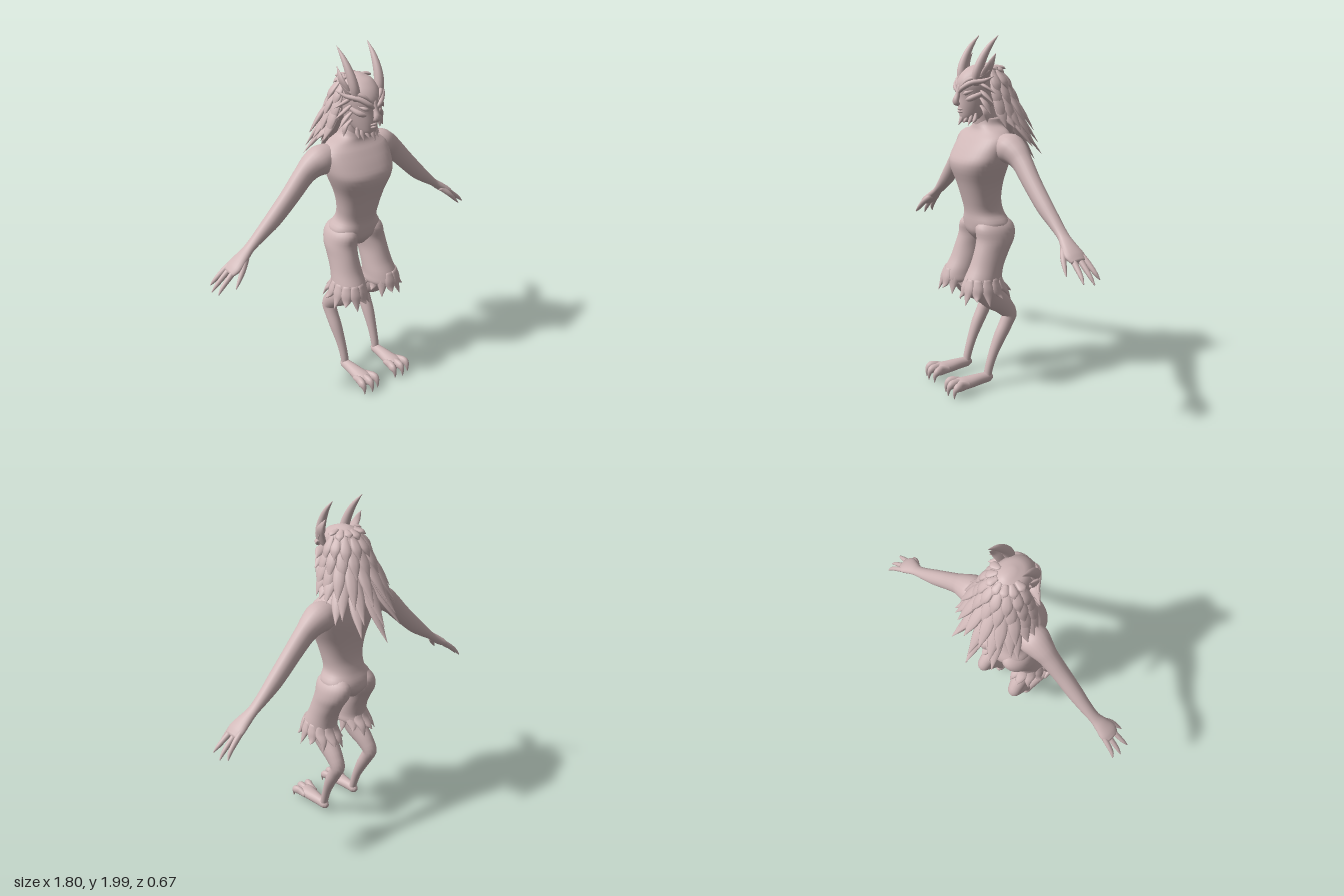
import * as THREE from 'three';

const skin = new THREE.MeshStandardMaterial({ color: 0xd0b8b8 });
skin.name = 'dusty pink';

// Smooth closed skin around a spine. Each point is [x, y, z, radius along side, other radius].
// With flat = true every ring stays horizontal; boxy < 1 squares the rings.
function loft(pts, { side = [1, 0, 0], flat = false, steps = 4, seg = 16, boxy = 1 } = {}) {
  const spine = new THREE.CatmullRomCurve3(pts.map(p => new THREE.Vector3(p[0], p[1], p[2])));
  const radii = new THREE.CatmullRomCurve3(pts.map(p => new THREE.Vector3(p[3], p[4] ?? p[3], 0)), false, 'catmullrom');
  const rows = (pts.length - 1) * steps, pos = [], idx = [];
  const bend = v => Math.sign(v) * Math.abs(v) ** boxy;
  for (let i = 0; i <= rows; i++) {
    const c = spine.getPoint(i / rows), r = radii.getPoint(i / rows);
    const t = flat ? new THREE.Vector3(0, Math.sign(pts.at(-1)[1] - pts[0][1]), 0) : spine.getTangent(i / rows);
    const u = new THREE.Vector3(...side);
    u.addScaledVector(t, -u.dot(t)).normalize();
    const v = new THREE.Vector3().crossVectors(t, u);
    for (let j = 0; j < seg; j++) {
      const a = j / seg * Math.PI * 2;
      const p = c.clone()
        .addScaledVector(u, Math.max(r.x, 0.0008) * bend(Math.cos(a)))
        .addScaledVector(v, Math.max(r.y, 0.0008) * bend(Math.sin(a)));
      pos.push(p.x, p.y, p.z);
    }
  }
  for (let i = 0; i < rows; i++) for (let j = 0; j < seg; j++) {
    const k = (j + 1) % seg, a = i * seg + j, b = i * seg + k;
    idx.push(a, b, a + seg, b, b + seg, a + seg);
  }
  // end caps
  const first = pos.length / 3, last = first + 1, top = rows * seg;
  pos.push(...pts[0].slice(0, 3), ...pts.at(-1).slice(0, 3));
  for (let j = 0; j < seg; j++) {
    const k = (j + 1) % seg;
    idx.push(first, k, j, last, top + j, top + k);
  }
  const g = new THREE.BufferGeometry();
  g.setAttribute('position', new THREE.Float32BufferAttribute(pos, 3));
  g.setIndex(idx);
  g.computeVertexNormals();
  return g;
}

export function createModel() {
  const model = new THREE.Group();
  model.name = 'hornedCreature';
  const add = (name, pts, opts) => {
    const m = new THREE.Mesh(loft(pts, opts), skin);
    m.name = name;
    model.add(m);
  };
  // the same part on both sides of the body
  const pair = (name, pts, opts = {}) => {
    add(name + 'Left', pts, opts);
    const s = opts.side ?? [1, 0, 0];
    add(name + 'Right', pts.map(p => [-p[0], ...p.slice(1)]), { ...opts, side: [-s[0], s[1], s[2]] });
  };
  // leaf shaped lock from root through mid to tip
  const lock = (root, mid, tip, w, th) =>
    [[...root, w * 0.5, th * 0.6], [...mid, w, th], [...tip, 0.001, 0.001]];

  // body
  add('torso', [
    [0, 0.87, 0, 0.05, 0.08], [0, 0.92, 0, 0.13, 0.115], [0, 0.97, 0.005, 0.155, 0.118],
    [0, 1.03, 0.02, 0.12, 0.105], [0, 1.1, 0.038, 0.122, 0.103], [0, 1.2, 0.05, 0.145, 0.12],
    [0, 1.31, 0.055, 0.19, 0.148], [0, 1.38, 0.035, 0.205, 0.135], [0, 1.45, 0.01, 0.2, 0.107],
    [0, 1.49, -0.005, 0.15, 0.088], [0, 1.52, -0.002, 0.09, 0.076], [0, 1.56, 0, 0.07, 0.068]],
  { flat: true, seg: 40, boxy: 0.88 });
  add('neck', [[0, 1.46, -0.01, 0.085, 0.075], [0, 1.54, 0.01, 0.07, 0.066], [0, 1.64, 0.03, 0.07, 0.066]], { seg: 24 });

  // arms
  pair('arm', [
    [0.12, 1.405, -0.015, 0.07, 0.065], [0.2, 1.405, -0.02, 0.085, 0.082], [0.255, 1.385, -0.025, 0.072, 0.072],
    [0.31, 1.345, -0.027, 0.055, 0.06], [0.4, 1.255, -0.026, 0.048, 0.053], [0.52, 1.14, -0.03, 0.043, 0.046],
    [0.6, 1.075, -0.034, 0.036, 0.034], [0.67, 1.022, -0.034, 0.033, 0.024], [0.72, 0.985, -0.03, 0.045, 0.026],
    [0.77, 0.95, -0.028, 0.058, 0.024], [0.805, 0.925, -0.03, 0.045, 0.015]], { side: [0, 0, 1], seg: 20 });
  const fingers = [[-0.065, 0.88, 0.845, -0.1], [-0.04, 0.9, 0.832, -0.052], [-0.008, 0.895, 0.845, 0.012]];
  fingers.forEach(([z, x, y, tipZ], i) => pair('finger' + (i + 1), [
    [0.76, 0.957, z, 0.016], [0.815, 0.915, (z * 2 + tipZ) / 3, 0.015],
    [(x + 0.84) / 2, (y + 0.9) / 2, (z + tipZ * 2) / 3, 0.011], [x, y, tipZ, 0.003]], { side: [0, 0, 1], seg: 10 }));
  pair('thumb', [[0.71, 0.985, -0.01, 0.02], [0.75, 0.945, 0.025, 0.016], [0.785, 0.905, 0.043, 0.011], [0.815, 0.87, 0.055, 0.003]],
    { side: [0, 0, 1], seg: 10 });

  // thighs and ragged hem
  pair('thigh', [
    [0.07, 1.02, 0, 0.03, 0.06], [0.087, 0.96, 0.002, 0.076, 0.117], [0.1, 0.89, 0.005, 0.086, 0.115],
    [0.109, 0.82, 0.035, 0.081, 0.105], [0.112, 0.74, 0.07, 0.085, 0.1], [0.117, 0.66, 0.1, 0.093, 0.113],
    [0.12, 0.61, 0.1, 0.094, 0.12], [0.12, 0.6, 0.1, 0.03, 0.04]], { flat: true, seg: 28 });
  for (let i = 0; i < 12; i++) {
    const a = (i + 0.4) / 12 * Math.PI * 2, c = Math.cos(a), s = Math.sin(a);
    const kx = c < 0 ? 0.85 : 1, kz = s < 0 ? 1.22 : 1, y = i % 2 ? 0.575 : 0.545;
    const at = (rx, rz, h) => [0.12 + rx * kx * c, h, 0.1 + rz * s];
    pair('hemSpike', [
      [...at(0.08, 0.1, 0.685), 0.02, 0.008], [...at(0.09, 0.112, 0.635), 0.034, 0.016],
      [...at(0.104, 0.125 * kz, 0.595), 0.022, 0.011], [...at(0.128, 0.145 * kz, y), 0.001, 0.001]],
    { side: [-s, 0, c], seg: 10 });
  }

  // lower legs
  pair('lowerLeg', [
    [0.115, 0.64, 0.09, 0.075, 0.09], [0.117, 0.56, 0.045, 0.062, 0.075], [0.125, 0.49, -0.03, 0.05, 0.057],
    [0.13, 0.43, -0.072, 0.042, 0.045], [0.13, 0.385, -0.055, 0.039, 0.04], [0.128, 0.3, -0.01, 0.036, 0.036],
    [0.124, 0.2, 0.034, 0.028, 0.027], [0.122, 0.11, 0.063, 0.024, 0.024], [0.122, 0.05, 0.075, 0.024, 0.02]], { seg: 20 });
  pair('foot', [
    [0.122, 0.055, 0.04, 0.012, 0.012], [0.122, 0.06, 0.06, 0.026, 0.028], [0.122, 0.062, 0.12, 0.033, 0.032],
    [0.121, 0.06, 0.2, 0.044, 0.034], [0.12, 0.06, 0.26, 0.052, 0.032], [0.12, 0.055, 0.29, 0.035, 0.02]], { seg: 20 });
  [0.08, 0.12, 0.16].forEach((x, i) => {
    const out = (i - 1) * 0.01, z = i === 1 ? 0.012 : 0;
    pair('toe', [[x, 0.06, 0.21, 0.014], [x, 0.066, 0.26, 0.021, 0.027], [x + out, 0.068, 0.295 + z, 0.021, 0.026],
      [x + out, 0.05, 0.314 + z, 0.013, 0.014], [x + out, 0.008, 0.32 + z, 0.002]], { seg: 12 });
  });

  // head
  add('head', [
    [0, 1.54, 0.125, 0.025, 0.03], [0, 1.57, 0.095, 0.054, 0.074], [0, 1.62, 0.062, 0.075, 0.113],
    [0, 1.68, 0.05, 0.088, 0.126], [0, 1.74, 0.045, 0.097, 0.137], [0, 1.79, 0.035, 0.093, 0.125],
    [0, 1.83, 0.025, 0.07, 0.09], [0, 1.853, 0.02, 0.02, 0.03]], { flat: true, seg: 36 });
  add('nose', [[0, 1.74, 0.172, 0.012, 0.01], [0, 1.69, 0.184, 0.013, 0.014], [0, 1.65, 0.197, 0.02, 0.017],
    [0, 1.635, 0.18, 0.012, 0.01]], { seg: 14 });
  for (const [y, w] of [[1.612, 0.03], [1.597, 0.026]])
    add('lip', [[-w, y - 0.003, 0.158, 0.002], [0, y, 0.177, 0.008], [w, y - 0.003, 0.158, 0.002]], { side: [0, 1, 0], seg: 10 });
  pair('eye', [[0.022, 1.69, 0.165, 0.002], [0.045, 1.698, 0.158, 0.012], [0.072, 1.71, 0.13, 0.002]], { side: [0, 1, 0], seg: 12 });
  pair('brow', [[0.006, 1.7, 0.18, 0.007], [0.035, 1.722, 0.178, 0.013], [0.075, 1.752, 0.145, 0.015],
    [0.12, 1.765, 0.09, 0.011], [0.155, 1.79, 0.05, 0.001]], { side: [0, 1, 0], seg: 12 });
  pair('upperBrow', [[0.02, 1.735, 0.175, 0.006], [0.06, 1.768, 0.15, 0.012], [0.1, 1.785, 0.1, 0.009],
    [0.13, 1.82, 0.06, 0.001]], { side: [0, 1, 0], seg: 10 });
  pair('cheekbone', [[0.03, 1.66, 0.155, 0.008], [0.065, 1.672, 0.135, 0.016], [0.095, 1.7, 0.08, 0.01]], { side: [0, 1, 0], seg: 10 });

  // horns and ears
  pair('horn', [[0.068, 1.74, 0.115, 0.02, 0.024], [0.082, 1.8, 0.112, 0.025, 0.028], [0.09, 1.87, 0.088, 0.022, 0.024],
    [0.096, 1.94, 0.045, 0.014, 0.015], [0.1, 2.0, -0.01, 0.001]], { seg: 16 });
  pair('ear', [[0.085, 1.75, 0.08, 0.022, 0.01], [0.107, 1.8, 0.075, 0.03, 0.012], [0.126, 1.85, 0.055, 0.022, 0.009],
    [0.122, 1.905, 0.02, 0.001]], { side: [0, 0, 1], seg: 12 });

  // beard
  [0, 0.022, 0.042, 0.06].forEach((x, i) => {
    const z = 0.155 - i * 0.016, y = 1.525 + (i % 2) * 0.012;
    const pts = lock([x, 1.59, z], [x * 1.05, 1.558, z + 0.008], [x * 1.15, y, z + 0.028], 0.014, 0.011);
    i ? pair('beardTuft', pts, { seg: 8 }) : add('beardTuft', pts, { seg: 8 });
  });

  // side whiskers
  for (const [y, z, x2, y2, z2] of [[1.745, 0.085, 0.165, 1.7, 0.05], [1.71, 0.085, 0.165, 1.645, 0.06],
    [1.67, 0.085, 0.15, 1.59, 0.07], [1.63, 0.085, 0.125, 1.545, 0.075]])
    pair('whisker', lock([0.078, y, z], [0.115, (y + y2) / 2 + 0.006, z - 0.01], [x2, y2, z2], 0.026, 0.011), { side: [0, 0.6, 1], seg: 10 });

  // mane: a core, then overlapping rings of locks from crown to nape
  add('maneCore', [[0, 1.835, 0, 0.05, 0.05], [0, 1.78, -0.02, 0.1, 0.08], [0, 1.7, -0.035, 0.115, 0.085],
    [0, 1.6, -0.065, 0.12, 0.06], [0, 1.5, -0.1, 0.1, 0.035], [0, 1.42, -0.135, 0.04, 0.015]], { flat: true, seg: 28 });
  // [root y, root radius, tip y at the back, tip radius at the side, at the back, spread, locks per side, width]
  const rings = [
    [1.84, 0.05, 1.8, 0.11, 0.1, 1.6, 3, 0.022],
    [1.815, 0.075, 1.69, 0.14, 0.15, 1.65, 3.5, 0.028],
    [1.78, 0.09, 1.6, 0.165, 0.19, 1.7, 4, 0.03],
    [1.74, 0.1, 1.48, 0.19, 0.275, 1.65, 4.5, 0.032],
    [1.68, 0.1, 1.38, 0.205, 0.3, 1.6, 4, 0.033],
    [1.62, 0.1, 1.3, 0.21, 0.325, 1.4, 3, 0.033]];
  for (const [y, r, tipY, rSide, rBack, spread, n, w] of rings) {
    for (let a = n % 1 ? 0.5 : 0; a <= n; a++) {
      const th = a / n * spread, s = Math.sin(th), c = Math.cos(th);
      const k = Math.max(c, 0) ** 1.3, tr = rSide + (rBack - rSide) * k;
      const ty = tipY + Math.max(0, 1.52 - tipY) * (1 - k) + (Math.round(a) % 2) * 0.02;
      const mr = r * 0.5 + tr * 0.5 + 0.012, my = y * 0.45 + ty * 0.55;
      const pts = lock([r * s, y, -r * c + 0.01], [mr * s, my, -mr * c + 0.005], [tr * s, ty, -tr * c], w, w * 0.42);
      const opts = { side: [c, 0, s], seg: 10, steps: 5 };
      a ? pair('maneLock', pts, opts) : add('maneLock', pts, opts);
    }
  }
  return model;
}
